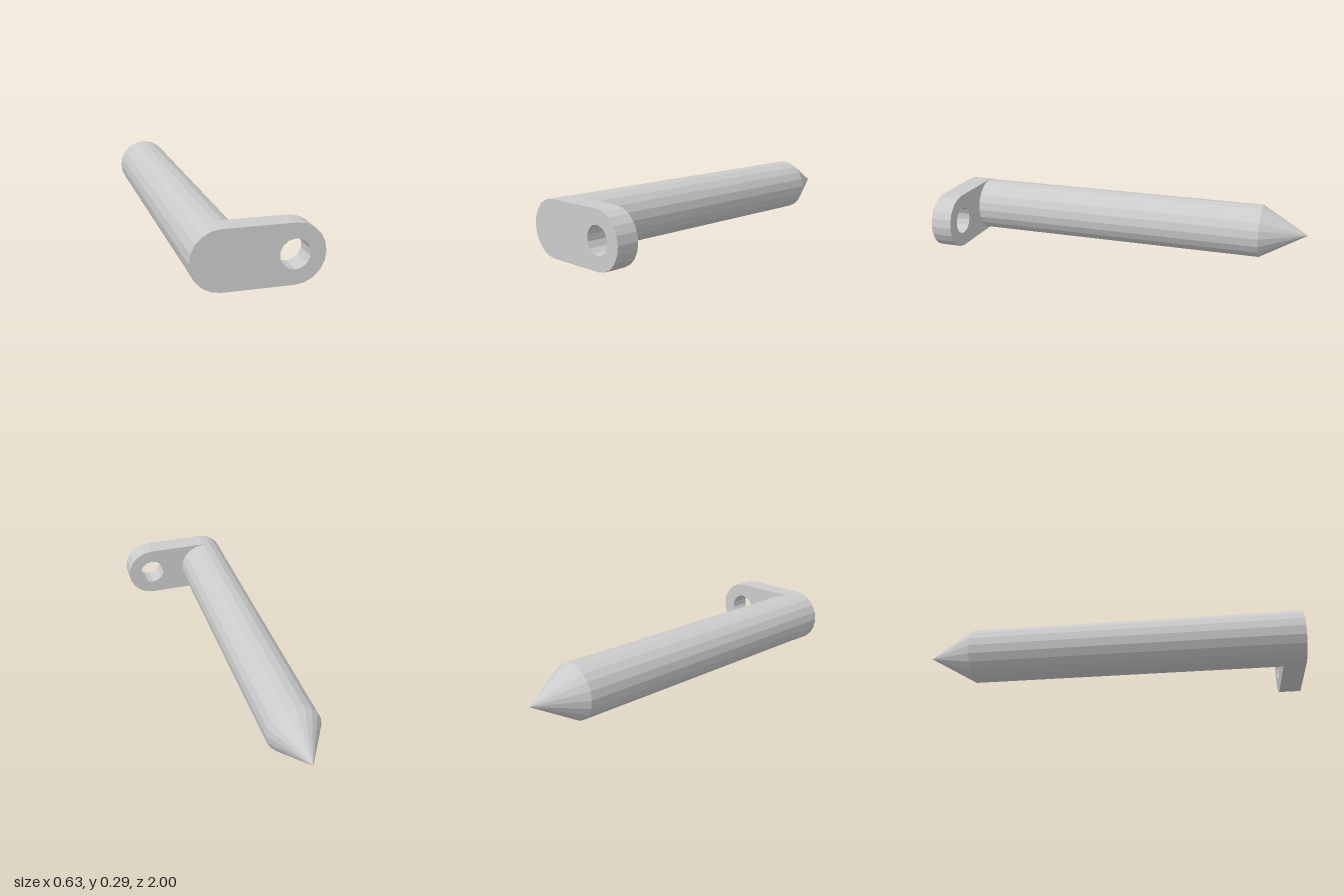
import * as THREE from 'three';

const R = 0.146;       // plate end radius, also the height of the axis
const OFFSET = 0.169;  // distance of both end centres from the middle

// Points on an arc, including both ends
function arc(cx, cy, r, from, to, steps) {
  return Array.from({ length: steps + 1 }, (_, i) => {
    const a = from + (to - from) * i / steps;
    return new THREE.Vector2(cx + r * Math.cos(a), cy + r * Math.sin(a));
  });
}

export function createModel() {
  const group = new THREE.Group();
  const material = new THREE.MeshStandardMaterial({ color: 0xcccccc, flatShading: true });
  const add = (name, geometry) => {
    const mesh = new THREE.Mesh(geometry, material);
    mesh.name = name;
    group.add(mesh);
  };

  // Rounded end plate with a round eye
  const h = Math.PI / 2;
  const outline = new THREE.Shape([
    ...arc(OFFSET, R, R, -h, h, 10),
    ...arc(-OFFSET, R, R, h, 3 * h, 10),
  ]);
  const eye = arc(OFFSET, R, 0.073, h, 5 * h, 14).slice(0, -1);
  outline.holes.push(new THREE.Path(eye.reverse()));
  const plate = new THREE.ExtrudeGeometry(outline, { depth: 0.115, bevelEnabled: false });
  plate.translate(0, 0, 0.885);
  add('eyePlate', plate);

  // Pin with a pointed tip, turned about its axis from tip to plate
  const profile = [[0, -1], [0.144, -0.75], [0.144, 0.98], [0, 0.98]]
    .map(([r, z]) => new THREE.Vector2(r, z));
  const pin = new THREE.LatheGeometry(profile, 20);
  pin.rotateX(h).translate(-0.17, R, 0);
  add('pointedPin', pin);

  return group;
}
